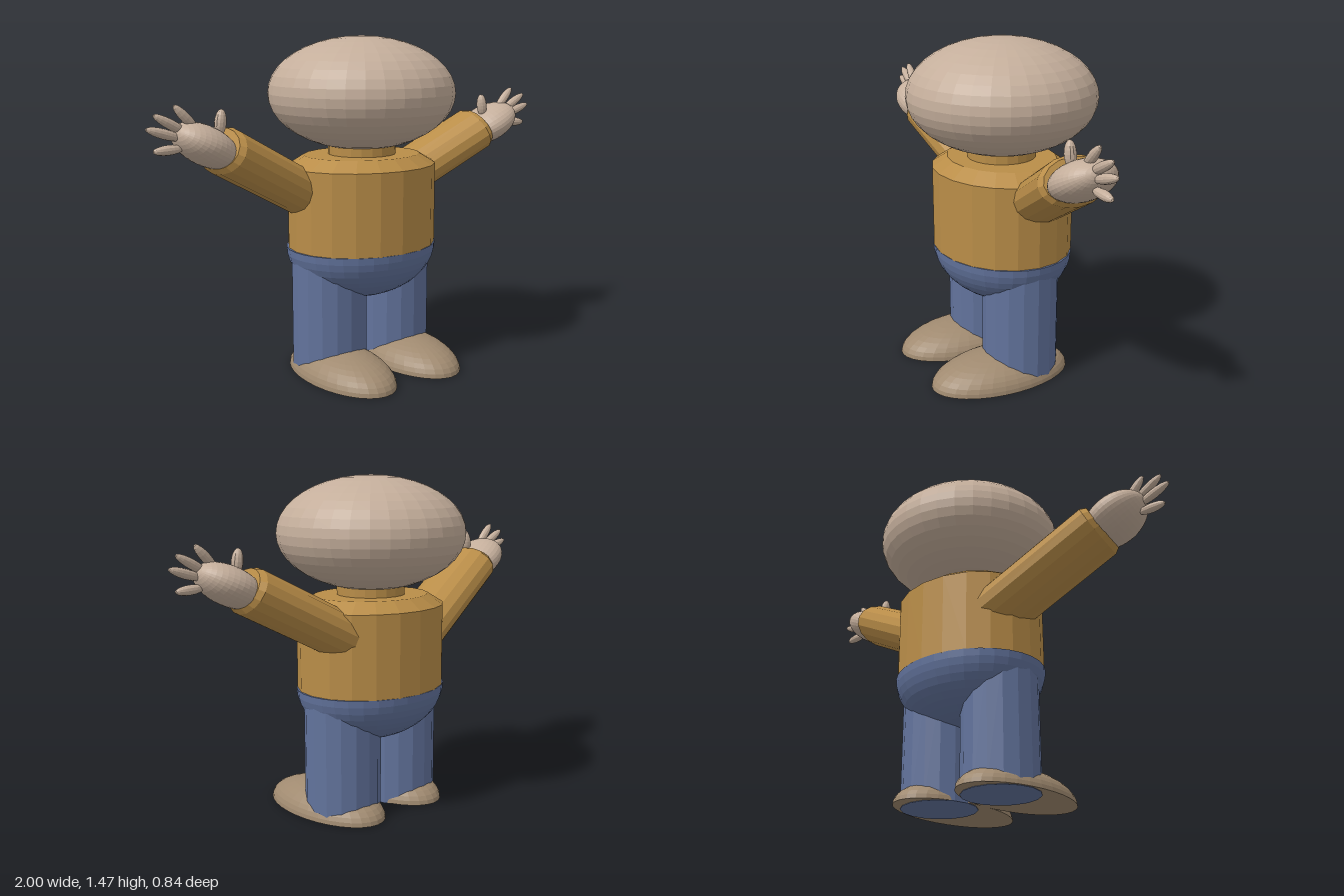
import * as THREE from 'three';

const mat = (color) => new THREE.MeshStandardMaterial({ color, flatShading: true });
const BODY_X = 0.03; // the trunk sits slightly off the middle of the arm span

export function createModel() {
  const model = new THREE.Group();
  model.name = 'figure';
  const skin = mat(0xc4ae9b), shirt = mat(0xb98d48), trousers = mat(0x62739c), shoe = mat(0xa08a70);

  const add = (name, geometry, material, x, y, z, scale = [1, 1, 1]) => {
    const mesh = new THREE.Mesh(geometry, material);
    mesh.name = name;
    mesh.position.set(x, y, z);
    mesh.scale.set(...scale);
    model.add(mesh);
    return mesh;
  };
  const lathe = (points, sides) =>
    new THREE.LatheGeometry(points.map(([r, y]) => new THREE.Vector2(r, y)), sides);

  // Turn a mesh so its y axis follows dir, keeping its z axis close to world z
  const aim = (mesh, dir) => {
    const y = dir.clone().normalize();
    const x = new THREE.Vector3().crossVectors(y, new THREE.Vector3(0, 0, 1)).normalize();
    const z = new THREE.Vector3().crossVectors(x, y);
    mesh.quaternion.setFromRotationMatrix(new THREE.Matrix4().makeBasis(x, y, z));
  };

  const ball = new THREE.SphereGeometry(1, 32, 20);
  const fingerBall = new THREE.SphereGeometry(1, 12, 10);

  // Head and neck
  add('head', ball, skin, BODY_X, 1.227, -0.005, [0.412, 0.247, 0.412]);
  add('neck', new THREE.CylinderGeometry(0.15, 0.15, 0.14, 20), shirt, BODY_X, 1.0, -0.003);

  // Torso with a sloped shoulder edge
  add('torso', lathe([[0, 0.555], [1, 0.555], [1, 0.915], [0.78, 0.96], [0, 0.96]], 20),
    shirt, BODY_X, 0, -0.003, [0.345, 1, 0.297]);

  // Rounded seat of the trousers
  add('pelvis', lathe([...Array(13)].map((_, i) => {
    const a = (i / 12) * Math.PI / 2;
    return [Math.sin(a), -Math.cos(a)];
  }).concat([[0, 0]]), 32), trousers, BODY_X, 0.557, -0.003, [0.352, 0.24, 0.297]);

  // Half-dome foot with a flat sole
  const footShape = lathe([[0, 0], ...[...Array(11)].map((_, i) => {
    const a = (i / 10) * Math.PI / 2;
    return [Math.cos(a), Math.sin(a)];
  })], 32);

  for (const s of [-1, 1]) {
    const side = s > 0 ? 'left' : 'right';

    // Leg and shoe
    add(side + 'Leg', new THREE.CylinderGeometry(0.167, 0.167, 0.54, 16), trousers,
      BODY_X + s * 0.175, 0.27, -0.005);
    add(side + 'Shoe', footShape, shoe, BODY_X + s * 0.18, 0.002, 0.095, [0.181, 0.12, 0.325]);

    // Flattened sleeve with a bevelled cuff
    const shoulder = new THREE.Vector3(s * 0.15, 0.75, -0.08);
    const wrist = new THREE.Vector3(s * 0.69, 1.04, 0.032);
    const dir = wrist.clone().sub(shoulder);
    const len = dir.length();
    const sleeve = add(side + 'Sleeve',
      lathe([[0, 0], [1, 0], [1, len - 0.025], [0.88, len], [0, len]], 16),
      shirt, shoulder.x, shoulder.y, shoulder.z, [0.1, 1, 0.143]);
    aim(sleeve, dir);

    // Hand
    const hand = add(side + 'Hand', ball, skin, s * 0.75, 1.055, 0.04, [0.078, 0.148, 0.13]);
    aim(hand, dir);

    // Fingers as [root x, root y, tip x, tip y], the thumb last
    [
      [0.85, 1.055, 0.974, 1.05],
      [0.85, 1.09, 1.0, 1.137],
      [0.83, 1.11, 0.968, 1.187],
      [0.79, 1.12, 0.885, 1.22],
      [0.7, 1.09, 0.686, 1.196],
    ].forEach(([x0, y0, x1, y1], i) => {
      const d = new THREE.Vector3(s * (x1 - x0), y1 - y0, 0);
      const r = i === 4 ? 0.024 : 0.02;
      const finger = add(side + (i === 4 ? 'Thumb' : 'Finger' + (i + 1)), fingerBall, skin,
        s * (x0 + x1) / 2, (y0 + y1) / 2, 0.06, [r, d.length() / 2, r]);
      aim(finger, d);
    });
  }
  return model;
}
